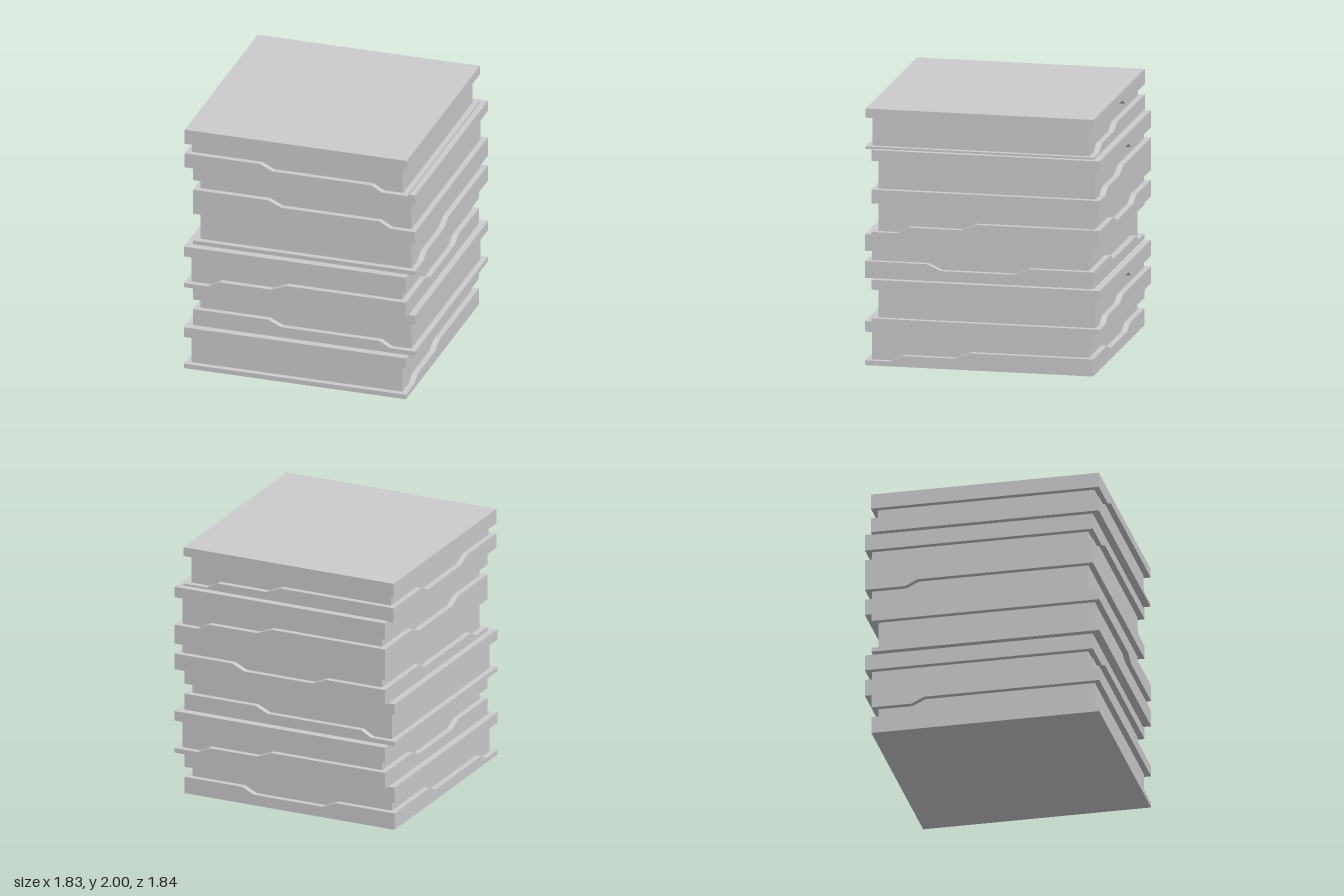
import * as THREE from 'three';

const HALF = 0.8875;   // half width across the bands
const CORE = 0.8425;   // half width of the recessed core
const INNER = 0.8275;  // where the bands start inside the core

// Band edge heights above the base of a block
const THIN = 0.037, MID = 0.085, THICK = 0.133, DEEP = 0.214, SHALLOW = 0.261;

// Edge profiles [position along face, height], one entry per face of a block.
// Faces run: front, thick side, back, thin side, each turned 90 degrees.
const FACES = [
  { half: HALF,
    lower: [[-HALF, THIN], [-0.69, THIN], [-0.6, MID], [-0.19, MID], [-0.07, THICK], [HALF, THICK]],
    upper: [[-HALF, SHALLOW], [0.11, SHALLOW], [0.2, DEEP], [HALF, DEEP]] },
  { half: INNER,
    lower: [[-INNER, THICK], [-0.4, THICK], [-0.3, MID], [0.28, MID], [0.39, THICK], [INNER, THICK]],
    upper: [[-INNER, DEEP], [INNER, DEEP]] },
  { half: HALF,
    lower: [[-HALF, THICK], [-0.285, THICK], [-0.185, MID], [0.605, MID], [0.69, THIN], [HALF, THIN]],
    upper: [[-HALF, DEEP], [-0.575, DEEP], [-0.475, SHALLOW], [HALF, SHALLOW]] },
  { half: INNER,
    lower: [[-INNER, THIN], [INNER, THIN]],
    upper: [[-INNER, SHALLOW], [INNER, SHALLOW]] },
];

// Each block: height origin, bottom, top, centre and quarter turns
const BLOCKS = [
  { base: 0,     bottom: 0,     top: 0.342, x: -0.03,  z: 0.0325, turns: 1 },
  { base: 0.342, bottom: 0.342, top: 0.68,  x: 0.0225, z: -0.03,  turns: 2 },
  { base: 0.677, bottom: 0.68,  top: 1.02,  x: -0.03,  z: 0.0325, turns: 0 },
  { base: 1.015, bottom: 1.02,  top: 1.345, x: 0.0225, z: -0.03,  turns: 1 },
  { base: 1.345, bottom: 1.345, top: 1.69,  x: 0.0225, z: -0.03,  turns: 2 },
  { base: 1.668, bottom: 1.685, top: 2.0,   x: -0.025, z: 0.0275, turns: 2 },
];

export function createModel() {
  const model = new THREE.Group();
  model.name = 'steppedTower';
  const material = new THREE.MeshStandardMaterial({ color: 0xcccccc, flatShading: true });

  // Flat strip between a stepped edge and a level edge, set on one face
  function band(name, profile, half, base, level, turn) {
    const points = profile.map(([a, h]) => new THREE.Vector2(a, base + h));
    points.push(new THREE.Vector2(half, level), new THREE.Vector2(-half, level));
    const geometry = new THREE.ExtrudeGeometry(new THREE.Shape(points),
      { depth: HALF - INNER, bevelEnabled: false });
    geometry.translate(0, 0, INNER);
    geometry.rotateY(turn * Math.PI / 2);
    const mesh = new THREE.Mesh(geometry, material);
    mesh.name = name;
    return mesh;
  }

  BLOCKS.forEach((b, i) => {
    const block = new THREE.Group();
    block.name = `block${i + 1}`;

    // Recessed core
    const core = new THREE.Mesh(
      new THREE.BoxGeometry(2 * CORE, b.top - b.bottom, 2 * CORE), material);
    core.name = 'core';
    core.position.y = (b.top + b.bottom) / 2;
    block.add(core);

    // Projecting bands around the foot and the head
    FACES.forEach((f, turn) => {
      block.add(band('lowerBand', f.lower, f.half, b.base, b.bottom, turn));
      block.add(band('upperBand', f.upper, f.half, b.base, b.top, turn));
    });

    block.position.set(b.x, 0, b.z);
    block.rotation.y = b.turns * Math.PI / 2;
    model.add(block);
  });
  return model;
}
